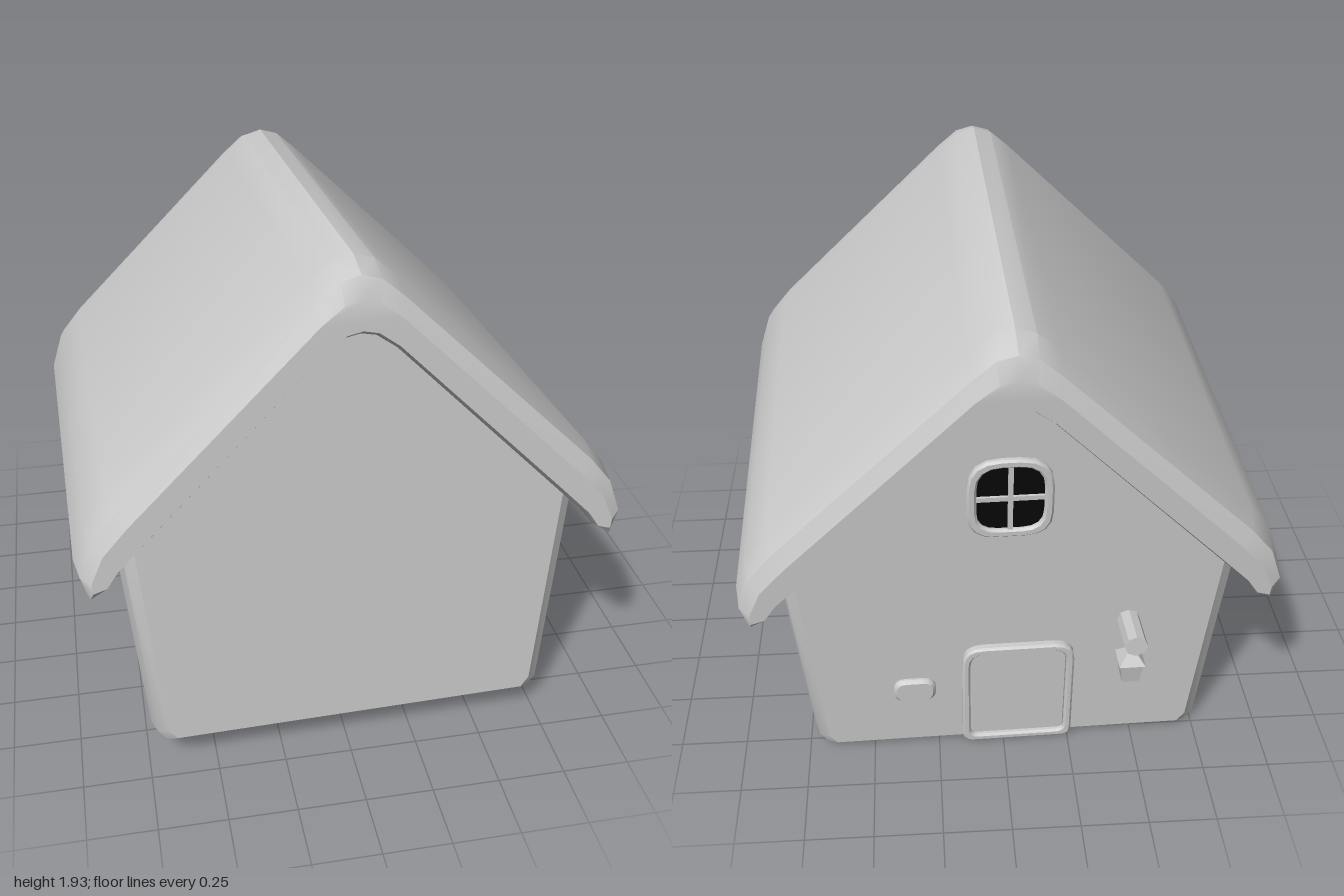
import * as THREE from 'three';
import { toCreasedNormals } from 'three/addons/utils/BufferGeometryUtils.js';

const grey = new THREE.MeshStandardMaterial({ color: 0xcccccc });
const dark = new THREE.MeshStandardMaterial({ color: 0x080808 });

function add(parent, name, geometry, material = grey, x = 0, y = 0, z = 0) {
  const mesh = new THREE.Mesh(geometry, material);
  mesh.name = name;
  mesh.position.set(x, y, z);
  parent.add(mesh);
  return mesh;
}

// Joins counter-clockwise cross-sections, ordered from back to front, and caps both ends.
function loft(sections) {
  const n = sections[0].points.length, last = (sections.length - 1) * n;
  const positions = [], index = [];
  for (const { points, z } of sections) for (const [x, y] of points) positions.push(x, y, z);
  for (let s = 0; s < sections.length - 1; s++) {
    for (let k = 0; k < n; k++) {
      const a = s * n + k, b = s * n + (k + 1) % n;
      index.push(a, b, b + n, a, b + n, a + n);
    }
  }
  const caps = (points) => THREE.ShapeUtils.triangulateShape(points.map(([x, y]) => new THREE.Vector2(x, y)), []);
  for (const [a, b, c] of caps(sections[0].points)) index.push(c, b, a);
  for (const [a, b, c] of caps(sections[sections.length - 1].points)) index.push(last + a, last + b, last + c);
  const geometry = new THREE.BufferGeometry();
  geometry.setAttribute('position', new THREE.Float32BufferAttribute(positions, 3));
  geometry.setIndex(index);
  return toCreasedNormals(geometry, 0.45);
}

// Mirrors a half profile that runs from the top down the +x side.
function mirror(half, closedAtAxis) {
  const right = half.slice(1, closedAtAxis ? -1 : undefined).reverse();
  return [...half.map(([x, y]) => [-x, y]), ...right];
}

// Walls: widening upwards, with rounded corner posts and lower edge.
function wallSection(inset) {
  const half = [[0, 1.66], [0.12, 1.6], [0.835, 0.87], [0.752, 0.04], [0.72, 0]];
  return mirror(half.map(([x, y], i) => [x * (1 - inset / 0.8), i > 2 ? y + inset * 0.5 : y]), false);
}

// Roof: a thick folded slab; t pulls the outer skin towards the underside.
const outer = [[0, 1.84], [0.07, 1.82], [0.15, 1.75], [0.85, 1.07], [0.93, 0.97], [0.975, 0.83]];
const inner = [[0, 1.6], [0.05, 1.59], [0.12, 1.54], [0.72, 0.93], [0.82, 0.83], [0.86, 0.78]];
function roofSection(t) {
  const mix = (a, b, f) => a.map((v, i) => v + (b[i] - v) * f);
  const top = outer.map((p, i) => mix(p, inner[i], t));
  const under = inner.map((p, i) => mix(p, outer[i], t * 0.25));
  const tip = mix([0.935, 0.715], [0.9, 0.84], t);
  return mirror([...top, tip, ...under.reverse()], true);
}

const endToEnd = (steps, section) => [
  ...steps.map(([z, v]) => ({ z: -z, points: section(v) })),
  ...steps.slice().reverse().map(([z, v]) => ({ z, points: section(v) })),
];

// Rectangle with rounded corners, centred on the origin.
function roundedRect(w, h, rTop, rBottom = rTop, target = new THREE.Shape()) {
  const x = w / 2, y = h / 2;
  target.moveTo(-x + rBottom, -y);
  target.lineTo(x - rBottom, -y);
  target.quadraticCurveTo(x, -y, x, -y + rBottom);
  target.lineTo(x, y - rTop);
  target.quadraticCurveTo(x, y, x - rTop, y);
  target.lineTo(-x + rTop, y);
  target.quadraticCurveTo(-x, y, -x, y - rTop);
  target.lineTo(-x, -y + rBottom);
  target.quadraticCurveTo(-x, -y, -x + rBottom, -y);
  return target;
}

function slab(shape, depth, bevel = 0.008) {
  const geometry = new THREE.ExtrudeGeometry(shape, {
    depth, bevelEnabled: true, bevelThickness: bevel, bevelSize: bevel, bevelOffset: -bevel,
    bevelSegments: 1, curveSegments: 4,
  });
  return toCreasedNormals(geometry, 0.5);
}

// Border with a matching opening, facing +z.
function frame(w, h, border, rTop, rBottom, depth) {
  const shape = roundedRect(w, h, rTop, rBottom);
  const k = 0.75;
  shape.holes.push(roundedRect(w - 2 * border, h - 2 * border, rTop * k, rBottom * k, new THREE.Path()));
  return slab(shape, depth);
}

function group(parent, name, x, y, z, turn) {
  const g = new THREE.Group();
  g.name = name;
  g.position.set(x, y, z);
  g.rotation.order = 'ZYX';
  g.rotation.y = turn;
  parent.add(g);
  return g;
}

export function createModel() {
  const model = new THREE.Group();
  model.name = 'cottage';
  // The whole cottage leans back and is turned slightly.
  const house = group(model, 'house', 0, 0.052, 0.075, 0);
  house.rotation.set(-0.06, 0.025, 0, 'YXZ');

  add(house, 'walls', loft(endToEnd([[0.86, 0.06], [0.83, 0.02], [0.76, 0]], wallSection)));
  add(house, 'roof', loft(endToEnd([[0.96, 0.45], [0.93, 0.14], [0.82, 0]], roofSection)));

  // Door in the back wall
  const door = group(house, 'door', -0.03, 0.265, -0.86, Math.PI);
  add(door, 'doorFrame', frame(0.42, 0.49, 0.03, 0.08, 0.04, 0.02));
  add(door, 'doorPanel', slab(roundedRect(0.37, 0.44, 0.06, 0.03), 0.004));

  // Small plaque beside the door
  const plaque = group(house, 'plaque', 0.36, 0.3, -0.86, Math.PI);
  add(plaque, 'plaquePlate', slab(roundedRect(0.16, 0.11, 0.05), 0.008, 0.012));

  // Round gable window with crossed bars
  const gable = group(house, 'gableWindow', 0.01, 1.2, -0.86, Math.PI);
  add(gable, 'gableFrame', frame(0.3, 0.33, 0.033, 0.12, 0.1, 0.012));
  add(gable, 'gablePane', new THREE.ShapeGeometry(roundedRect(0.26, 0.29, 0.1), 4), dark, 0, 0, 0.004);
  add(gable, 'uprightBar', new THREE.BoxGeometry(0.018, 0.27, 0.014), grey, 0, 0, 0.007);
  add(gable, 'crossBar', new THREE.BoxGeometry(0.24, 0.018, 0.014), grey, 0, 0, 0.007);

  // Side window, following the lean of the wall
  const side = group(house, 'sideWindow', -0.79, 0.4, -0.12, -Math.PI / 2);
  side.rotation.z = 0.1;
  add(side, 'sideFrame', frame(0.38, 0.36, 0.04, 0.1, 0.1, 0.02));
  add(side, 'sidePane', new THREE.ShapeGeometry(roundedRect(0.32, 0.3, 0.07), 4), dark, 0, 0, 0.005);

  // Lantern hanging from a round peg
  const lantern = group(house, 'lantern', -0.436, 0.607, -0.95, 0);
  const peg = new THREE.CylinderGeometry(0.042, 0.042, 0.19, 8);
  peg.rotateX(Math.PI / 2 + 0.1);
  add(lantern, 'peg', toCreasedNormals(peg, 0.5), grey, 0, 0, 0.02);
  const square = (top, bottom, h) => toCreasedNormals(
    new THREE.CylinderGeometry(top, bottom, h, 4).rotateY(Math.PI / 4), 0.3);
  add(lantern, 'hook', new THREE.CylinderGeometry(0.012, 0.012, 0.06, 6), grey, 0, -0.06, 0);
  add(lantern, 'lanternCap', square(0.02, 0.068, 0.045), grey, 0, -0.1, 0);
  add(lantern, 'lanternBody', square(0.06, 0.046, 0.09), grey, 0, -0.165, 0);

  return model;
}
